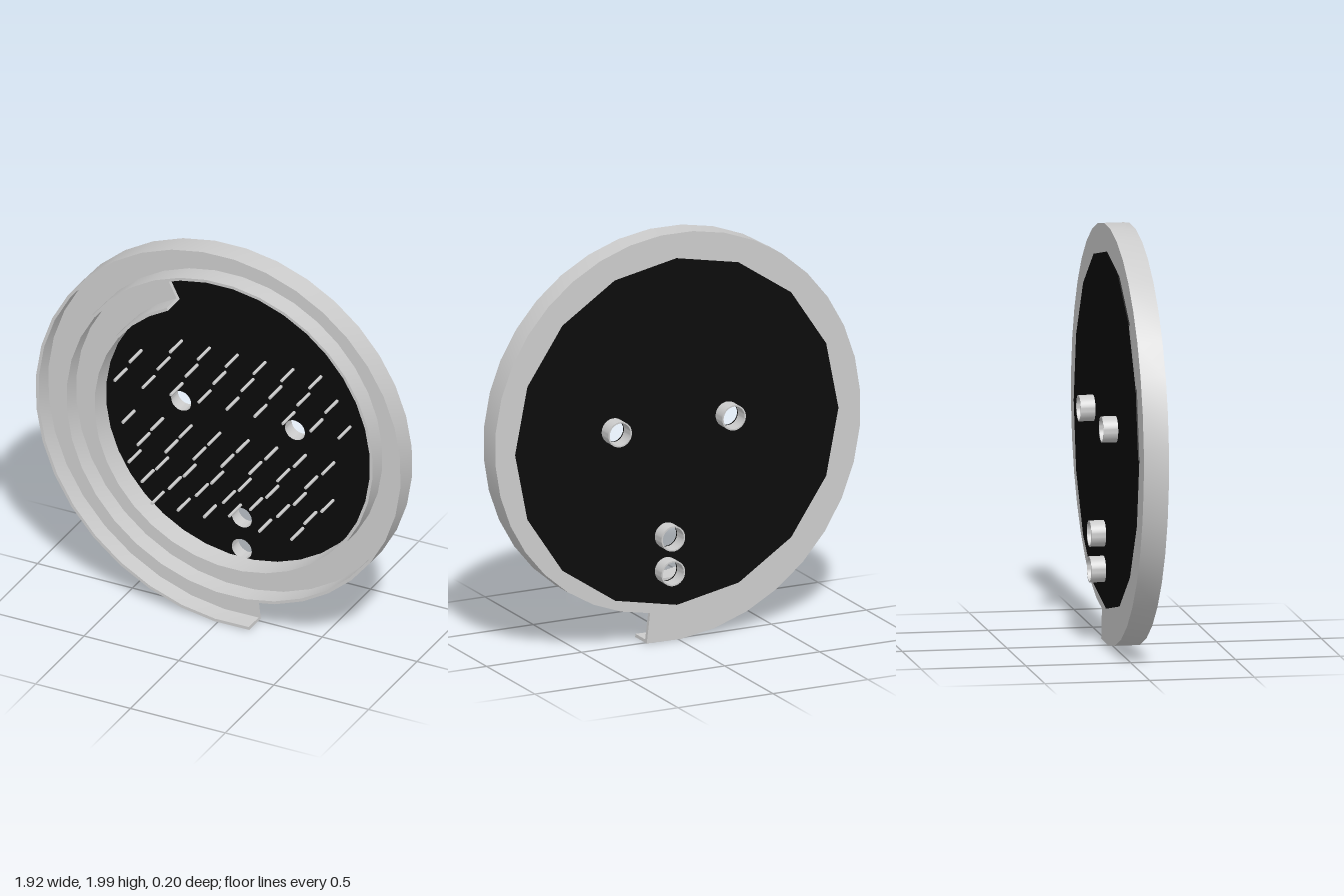
import * as THREE from 'three';
import { toCreasedNormals } from 'three/addons/utils/BufferGeometryUtils.js';

const CX = 0.04, CY = 1.037;              // spiral centre
const PITCH = 0.148, WIDTH = 0.163, WALL = 0.015;
const BACK = -0.02, FLOOR = 0, RIM = 0.1; // depths along z

const grey = new THREE.MeshStandardMaterial({ color: 0xcccccc });
const black = new THREE.MeshStandardMaterial({ color: 0x0a0a0a });

function add(group, name, geometry, material) {
  const mesh = new THREE.Mesh(geometry, material);
  mesh.name = name;
  group.add(mesh);
  return mesh;
}

// U-shaped channel section wound along a shrinking spiral
function spiralChannelGeometry() {
  const section = new THREE.Shape([
    [0, BACK], [WIDTH, BACK], [WIDTH, RIM], [WIDTH - WALL, RIM],
    [WIDTH - WALL, FLOOR], [WALL, FLOOR], [WALL, RIM], [0, RIM],
  ].map(([d, z]) => new THREE.Vector2(d, z)));
  const geo = new THREE.ExtrudeGeometry(section, { depth: 1, steps: 52, bevelEnabled: false });
  const p = geo.attributes.position;
  for (let i = 0; i < p.count; i++) {
    const deg = -603 + 520 * p.getZ(i);
    const r = 1.037 + PITCH * (deg + 90) / 360 - p.getX(i);
    const a = THREE.MathUtils.degToRad(deg);
    p.setXYZ(i, CX + r * Math.cos(a), CY + r * Math.sin(a), p.getY(i));
  }
  return toCreasedNormals(geo, 0.5);
}

// Ring extruded along z, used for the pipe stubs
function pipeGeometry(outer, inner, length) {
  const shape = new THREE.Shape().absarc(0, 0, outer, 0, Math.PI * 2, false);
  shape.holes.push(new THREE.Path().absarc(0, 0, inner, 0, Math.PI * 2, true));
  const geo = new THREE.ExtrudeGeometry(shape, { depth: length, bevelEnabled: false, curveSegments: 24 });
  return toCreasedNormals(geo, 0.6);
}

export function createModel() {
  const model = new THREE.Group();
  model.name = 'spiralTray';
  add(model, 'spiralChannel', spiralChannelGeometry(), grey);

  const pipes = [[-0.255, 1.075], [0.345, 1.075], [0.065, 0.525], [0.065, 0.355]];

  // Thin black back plate with a hole at each pipe
  const outline = [];
  for (let i = 0; i < 16; i++) {
    const a = (i / 16) * Math.PI * 2;
    outline.push(new THREE.Vector2(0.01 + 0.85 * Math.cos(a), 1.025 + 0.85 * Math.sin(a)));
  }
  const plate = new THREE.Shape(outline);
  for (const [x, y] of pipes) {
    plate.holes.push(new THREE.Path().absarc(x, y, 0.054, 0, Math.PI * 2, true));
  }
  const plateGeo = new THREE.ExtrudeGeometry(plate, { depth: 0.006, bevelEnabled: false, curveSegments: 24 });
  add(model, 'backPlate', plateGeo, black).position.z = -0.026;

  // Pipe stubs out of the back
  const pipeGeo = pipeGeometry(0.062, 0.055, 0.07);
  for (const [x, y] of pipes) add(model, 'pipeStub', pipeGeo, grey).position.set(x, y, -0.096);

  // Rows of thin pins: y, first x, last x, count
  const pinGeo = new THREE.CylinderGeometry(0.008, 0.008, 0.12, 8).rotateX(Math.PI / 2);
  const pins = new THREE.Group();
  pins.name = 'pins';
  const rows = [
    [1.405, -0.25, 0.484, 6], [1.295, -0.463, 0.569, 8], [1.173, -0.542, 0.638, 9],
    [0.956, -0.5, 0.553, 8], [0.855, -0.421, 0.463, 7], [0.749, -0.468, 0.548, 8],
    [0.66, -0.399, 0.458, 7], [0.555, -0.347, -0.071, 3], [0.595, 0.061, 0.061, 1],
    [0.555, 0.22, 0.389, 2],
  ];
  for (const [y, x0, x1, n] of rows) {
    for (let i = 0; i < n; i++) {
      const x = n > 1 ? x0 + (x1 - x0) * i / (n - 1) : x0;
      add(pins, 'pin', pinGeo, grey).position.set(x, y, 0.04);
    }
  }
  model.add(pins);
  return model;
}
